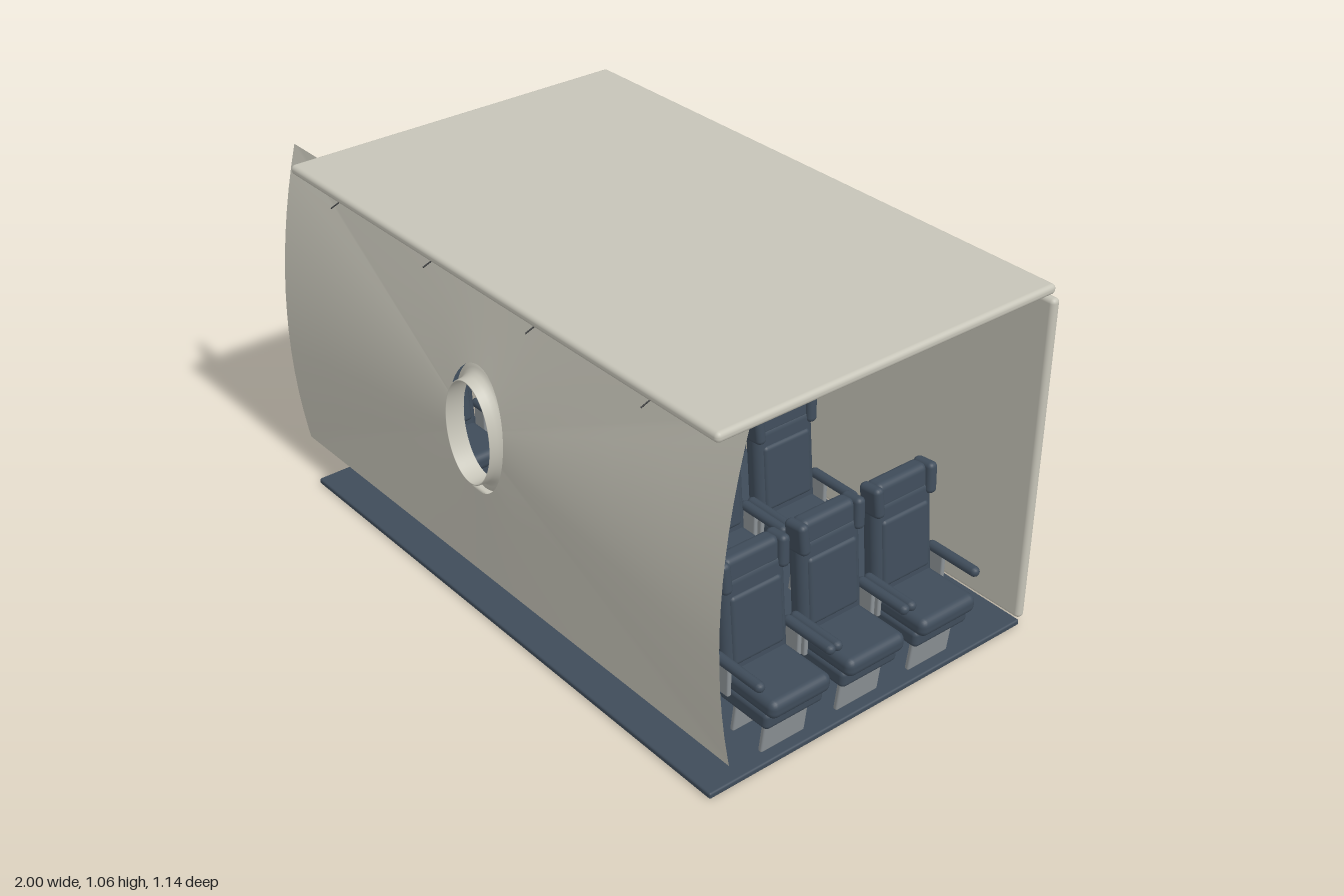
import * as THREE from 'three';
import { RoundedBoxGeometry } from 'three/addons/geometries/RoundedBoxGeometry.js';

const mat = (name, color, side = THREE.FrontSide) =>
  Object.assign(new THREE.MeshStandardMaterial({ color, side }), { name });

const panel = mat('warm grey panel', 0xc6c4b8, THREE.DoubleSide);
const navy = mat('navy upholstery', 0x3f4c5a);
const metal = mat('grey metal', 0x8c9296);
const dark = mat('dark detail', 0x2a2c2e);

function add(parent, name, geometry, material, x = 0, y = 0, z = 0) {
  const mesh = new THREE.Mesh(geometry, material);
  mesh.name = name;
  mesh.position.set(x, y, z);
  parent.add(mesh);
  return mesh;
}

const rounded = (w, h, d, r) => new RoundedBoxGeometry(w, h, d, 3, r);

// Thin straight rod between two points
function rod(parent, name, a, b, radius, material) {
  const path = new THREE.LineCurve3(new THREE.Vector3(...a), new THREE.Vector3(...b));
  return add(parent, name, new THREE.TubeGeometry(path, 1, radius, 6), material);
}

// Curved side wall: fan of strips from the oval opening to the outer edge
function wallGeometry() {
  const cx = -0.035, cy = 0.578, x0 = -1, x1 = 0.95, y0 = 0.07, y1 = 1.04;
  const arcZ = y => 0.546 - 0.246 * (y - 0.48) ** 2;
  const angles = [];
  for (let i = 0; i < 96; i++) angles.push((i / 96) * Math.PI * 2);
  for (const x of [x0, x1]) for (const y of [y0, y1]) {
    const t = Math.atan2(y - cy, x - cx);
    angles.push(t < 0 ? t + Math.PI * 2 : t);
  }
  angles.sort((a, b) => a - b);
  const pos = [], index = [], rings = 4, n = angles.length;
  for (const t of angles) {
    const c = Math.cos(t), s = Math.sin(t);
    const inner = 1 / Math.hypot(c / 0.124, s / 0.191);
    const outer = Math.min(
      Math.abs(c) < 1e-6 ? 9 : ((c > 0 ? x1 : x0) - cx) / c,
      Math.abs(s) < 1e-6 ? 9 : ((s > 0 ? y1 : y0) - cy) / s);
    const zIn = arcZ(cy + s * inner), zOut = arcZ(cy + s * outer);
    for (let k = 0; k <= rings; k++) {
      const f = k / rings, r = inner + (outer - inner) * f;
      pos.push(cx + c * r, cy + s * r, zIn + (zOut - zIn) * f);
    }
  }
  const m = rings + 1;
  for (let i = 0; i < n; i++) for (let k = 0; k < rings; k++) {
    const a = i * m + k, b = ((i + 1) % n) * m + k;
    index.push(a, a + 1, b + 1, a, b + 1, b);
  }
  const g = new THREE.BufferGeometry();
  g.setAttribute('position', new THREE.Float32BufferAttribute(pos, 3));
  g.setIndex(index);
  g.computeVertexNormals();
  return g;
}

// Oval window collar with an inner flange
function windowGeometry() {
  const profile = [[0.152, 0.512], [0.193, 0.512], [0.193, 0.519], [0.178, 0.522],
    [0.166, 0.53], [0.159, 0.545], [0.157, 0.569], [0.153, 0.569], [0.152, 0.512]];
  const g = new THREE.LatheGeometry(profile.map(p => new THREE.Vector2(...p)), 64);
  g.rotateX(Math.PI / 2);
  g.scale(0.645, 1, 1);
  return g;
}

// One passenger seat facing +x
function createSeat() {
  const seat = new THREE.Group();
  seat.name = 'seat';
  add(seat, 'seatCushion', rounded(0.215, 0.055, 0.202, 0.022), navy, 0.018, 0.213, 0);
  add(seat, 'seatBase', rounded(0.18, 0.052, 0.196, 0.015), navy, 0.01, 0.166, 0);

  // Reclined back with headrest and side wings
  const back = new THREE.Group();
  back.name = 'seatBack';
  back.position.set(-0.065, 0.2, 0);
  back.rotation.z = 0.1;
  seat.add(back);
  add(back, 'backCushion', rounded(0.06, 0.31, 0.21, 0.025), navy, 0, 0.15, 0);
  add(back, 'lumbarPad', rounded(0.03, 0.2, 0.17, 0.013), navy, 0.022, 0.15, 0);
  add(back, 'headrest', rounded(0.055, 0.075, 0.18, 0.018), navy, 0, 0.315, 0);
  for (const side of [-1, 1]) {
    const wing = add(back, 'headrestWing', rounded(0.07, 0.09, 0.032, 0.014), navy, 0.008, 0.309, side * 0.095);
    wing.rotation.x = side * 0.06;

    // Armrest and its upright
    const arm = add(seat, 'armrest', new THREE.CapsuleGeometry(0.015, 0.15, 4, 12), navy, 0.015, 0.288, side * 0.117);
    arm.rotation.z = Math.PI / 2;
    add(seat, 'armrestSupport', rounded(0.05, 0.09, 0.014, 0.005), metal, -0.04, 0.235, side * 0.117);

    // Leg plates, splayed slightly
    const leg = add(seat, 'legPlate', rounded(0.014, 0.115, 0.147, 0.005), metal, side * 0.053 + 0.006, 0.092, 0);
    leg.rotation.z = -0.12;
  }
  return seat;
}

export function createModel() {
  const model = new THREE.Group();
  model.name = 'cabinSection';

  // Enclosure
  add(model, 'floor', rounded(1.81, 0.018, 1.115, 0.006), navy, 0.05, 0.009, 0.012);
  add(model, 'ceiling', rounded(1.81, 0.029, 1.115, 0.013), panel, 0.05, 1.042, 0.012);
  add(model, 'backWall', rounded(1.81, 0.99, 0.029, 0.013), panel, 0.05, 0.515, -0.552);
  add(model, 'curvedWall', wallGeometry(), panel);

  // Window
  add(model, 'windowFrame', windowGeometry(), panel, -0.035, 0.578, 0);
  add(model, 'windowSill', rounded(0.12, 0.018, 0.053, 0.008), panel, -0.035, 0.375, 0.507);

  for (let row = 0; row < 4; row++) {
    const x = -0.485 + row * 0.4535;

    // Three seats across
    for (const z of [0.311, 0.053, -0.206]) {
      const seat = createSeat();
      seat.position.set(x, 0, z);
      model.add(seat);
    }

    // Overhead unit and ceiling struts
    const ux = x - 0.247;
    add(model, 'overheadUnit', rounded(0.09, 0.012, 0.082, 0.005), panel, ux, 0.973, 0.349);
    add(model, 'overheadLamp', new THREE.BoxGeometry(0.04, 0.008, 0.028), dark, ux, 0.964, 0.358);
    rod(model, 'frontStrut', [ux, 0.953, 0.522], [ux, 1.032, 0.312], 0.002, dark);
    rod(model, 'backStrut', [ux, 1.031, -0.34], [ux, 1.0, -0.55], 0.002, dark);
  }
  return model;
}
